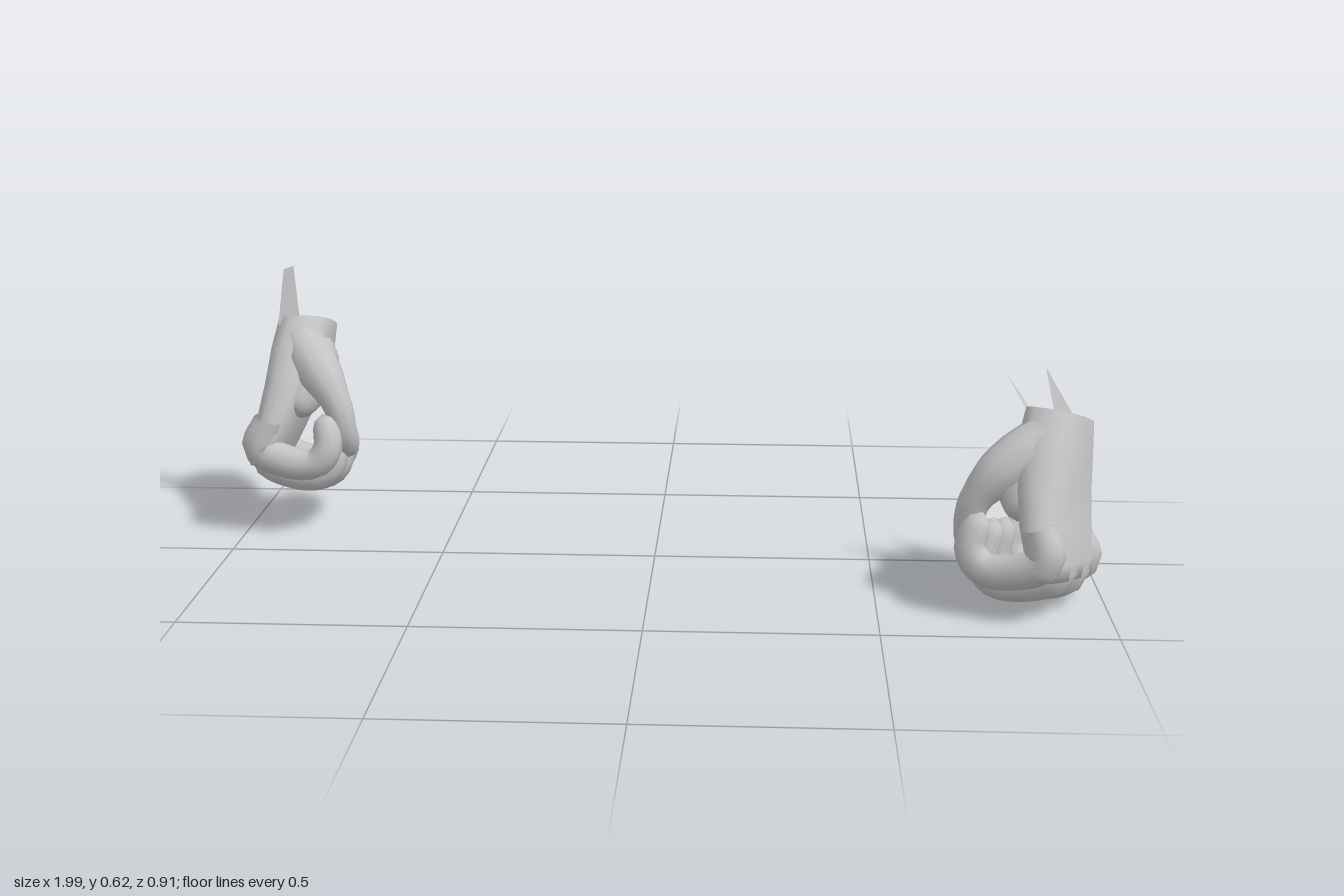
import * as THREE from 'three';
import { mergeVertices } from 'three/addons/utils/BufferGeometryUtils.js';

const glove = new THREE.MeshStandardMaterial({ color: 0xc4c4c4, side: THREE.DoubleSide });
glove.name = 'glove grey';

function addMesh(group, name, geometry) {
  const mesh = new THREE.Mesh(geometry, glove);
  mesh.name = name;
  group.add(mesh);
}

function smooth(geometry) {
  geometry.deleteAttribute('uv');
  geometry.deleteAttribute('normal');
  const merged = mergeVertices(geometry, 1e-4);
  merged.computeVertexNormals();
  return merged;
}

// Tapered tube along a path with a rounded tip; radii are spread along its length
function digit(points, radii) {
  const segments = 22, sides = 10;
  const curve = new THREE.CatmullRomCurve3(points.map((p) => new THREE.Vector3(...p)));
  const geo = new THREE.TubeGeometry(curve, segments, 1, sides);
  const pos = geo.attributes.position, nor = geo.attributes.normal;
  const p = new THREE.Vector3(), n = new THREE.Vector3();
  for (let i = 0; i < pos.count; i++) {
    const u = Math.floor(i / (sides + 1)) / segments;
    const f = u * (radii.length - 1), k = Math.min(Math.floor(f), radii.length - 2);
    let r = THREE.MathUtils.lerp(radii[k], radii[k + 1], f - k);
    if (u > 0.88) r *= Math.sqrt(Math.max(0, 1 - ((u - 0.88) / 0.12) ** 2));
    p.fromBufferAttribute(pos, i);
    n.fromBufferAttribute(nor, i);
    p.addScaledVector(n, r - 1);
    pos.setXYZ(i, p.x, p.y, p.z);
  }
  return smooth(geo);
}

// Palm sections from wrist to knuckles: x, front y, front z, back y, back z, half thickness
const PALM = [
  [-0.88, 0.505, -0.285, 0.44, -0.455, 0.068],
  [-0.888, 0.44, -0.22, 0.37, -0.44, 0.071],
  [-0.903, 0.36, -0.165, 0.3, -0.425, 0.064],
  [-0.925, 0.28, -0.125, 0.23, -0.402, 0.055],
  [-0.95, 0.21, -0.095, 0.165, -0.385, 0.046],
  [-0.957, 0.175, -0.1, 0.13, -0.375, 0.035],
  [-0.95, 0.165, -0.2, 0.14, -0.3, 0.004],
];

function palm(side) {
  const sides = 20, verts = [], index = [];
  const bulge = (v) => Math.sign(v) * Math.abs(v) ** 0.8;
  PALM.forEach(([x, fy, fz, by, bz, t], j) => {
    for (let i = 0; i < sides; i++) {
      const a = (i / sides) * Math.PI * 2;
      const c = bulge(Math.cos(a)), s = bulge(Math.sin(a));
      verts.push(-side * (x + t * s), (fy + by) / 2 + (c * (fy - by)) / 2, (fz + bz) / 2 + (c * (fz - bz)) / 2);
      if (j === 0) continue;
      const k = (i + 1) % sides, lo = j * sides, up = lo - sides;
      const quad = [up + i, lo + i, up + k, up + k, lo + i, lo + k];
      index.push(...(side < 0 ? quad : quad.reverse()));
    }
  });
  const geo = new THREE.BufferGeometry();
  geo.setAttribute('position', new THREE.Float32BufferAttribute(verts, 3));
  geo.setIndex(index);
  geo.computeVertexNormals();
  return geo;
}

// Curled fingers: name, root z, bend z, tip z, underside height, tip height
const FINGERS = [
  ['indexFinger', -0.135, -0.118, -0.145, 0.182, 0.295],
  ['middleFinger', -0.205, -0.18, -0.215, 0.137, 0.265],
  ['ringFinger', -0.275, -0.255, -0.28, 0.12, 0.25],
  ['littleFinger', -0.345, -0.33, -0.36, 0.13, 0.235],
];

// side is -1 for the right hand and 1 for the left
function hand(side) {
  const group = new THREE.Group();
  const mirror = (pts) => pts.map(([x, y, z]) => [-side * x, y, z]);
  addMesh(group, 'palm', palm(side));
  for (const [name, root, bend, tip, y, top] of FINGERS) {
    const path = [
      [-0.935, y + 0.1, root],
      [-0.957, y + 0.03, root],
      [-0.9, y, (root + bend) / 2],
      [-0.822, y - 0.004, bend],
      [-0.79, y + 0.035, bend],
      [-0.805, top, tip],
    ];
    addMesh(group, name, digit(mirror(path), [0.034, 0.042, 0.041, 0.039, 0.036, 0.033, 0.028]));
  }
  // Thumb curling across the finger opening
  addMesh(group, 'thumb', digit(mirror([
    [-0.88, 0.43, -0.29],
    [-0.81, 0.365, -0.2],
    [-0.77, 0.3, -0.17],
    [-0.757, 0.225, -0.175],
    [-0.76, 0.2, -0.2],
    [-0.76, 0.192, -0.255],
  ]), [0.06, 0.06, 0.052, 0.037, 0.032, 0.028, 0.024]));
  // Fleshy pad joining the thumb to the palm
  addMesh(group, 'thumbPad', digit(mirror([
    [-0.87, 0.45, -0.35],
    [-0.855, 0.39, -0.29],
    [-0.86, 0.33, -0.22],
    [-0.89, 0.28, -0.18],
  ]), [0.04, 0.065, 0.055, 0.03]));
  return group;
}

// Thin torn flap at the cuff, as a fan of corners
function flap(group, corners) {
  const geo = new THREE.BufferGeometry();
  geo.setAttribute('position', new THREE.Float32BufferAttribute(corners.flat(), 3));
  geo.setIndex(corners.length === 4 ? [0, 1, 2, 0, 2, 3] : [0, 1, 2]);
  geo.computeVertexNormals();
  addMesh(group, 'cuffFlap', geo);
}

export function createModel() {
  const model = new THREE.Group();
  model.name = 'pairOfHands';

  const right = hand(-1);
  right.name = 'rightHand';
  flap(right, [[-0.935, 0.48, -0.285], [-0.89, 0.48, -0.325], [-0.9, 0.62, -0.322], [-0.92, 0.615, -0.303]]);
  model.add(right);

  // Left hand is the mirrored pose, turned about its wrist
  const turned = hand(1);
  turned.name = 'leftHand';
  turned.children.forEach((m) => m.geometry.translate(-0.88, -0.075, 0.37));
  turned.rotation.y = -Math.PI / 6;
  turned.position.set(0.9, 0, 0.17);
  model.add(turned);

  const flaps = new THREE.Group();
  flaps.name = 'leftCuffFlaps';
  flap(flaps, [[0.95, 0.36, 0.12], [0.895, 0.39, 0.105], [0.88, 0.477, 0.05]]);
  flap(flaps, [[0.83, 0.4, 0.17], [0.85, 0.385, 0.12], [0.78, 0.485, 0.132]]);
  model.add(flaps);
  return model;
}
